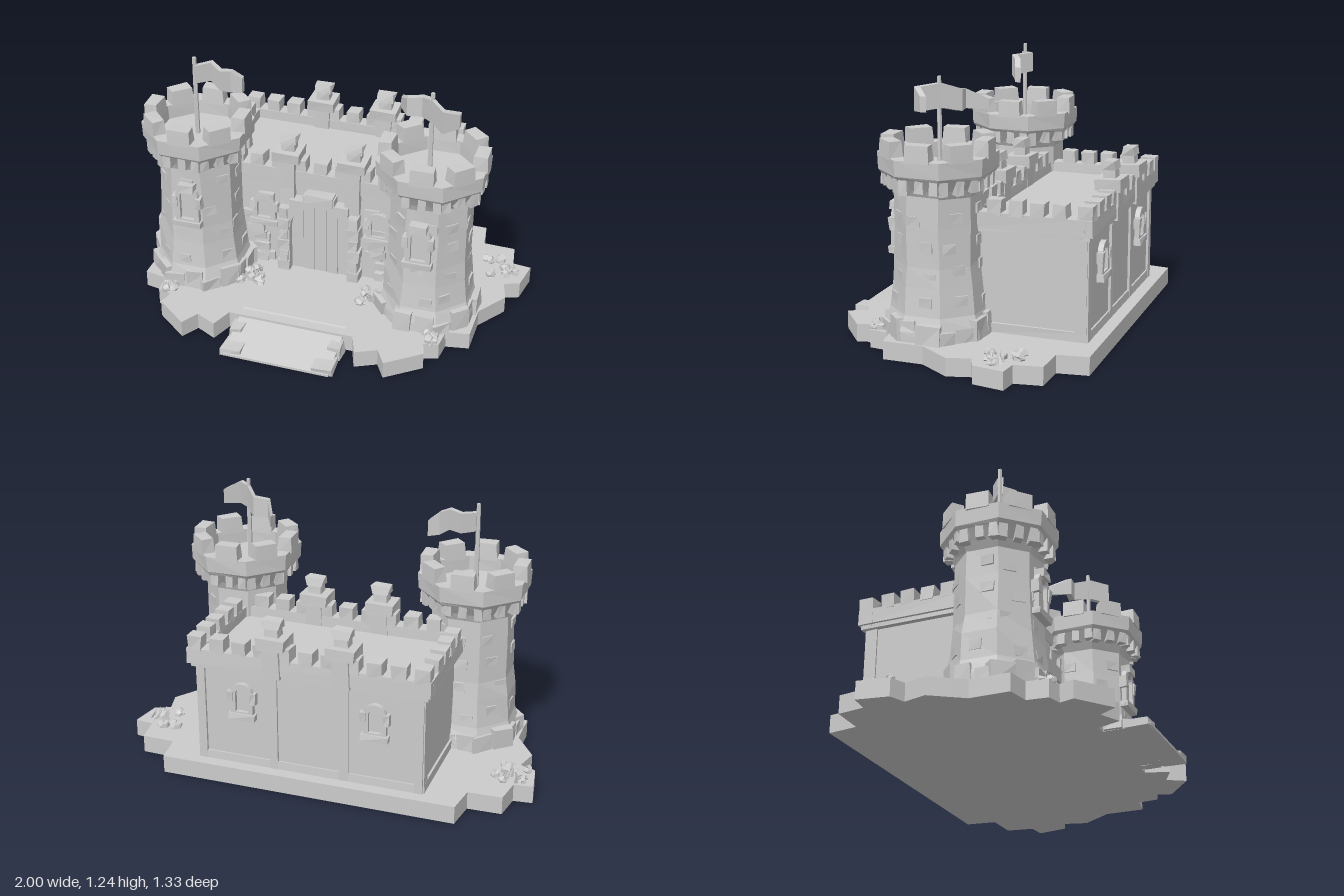
import * as THREE from 'three';

const stone = new THREE.MeshStandardMaterial({ color: 0xcccccc, flatShading: true, side: THREE.DoubleSide });

// Seeded random numbers for the rubble and worn stones
let seed = 7;
const rnd = (a, b) => {
  seed = (seed * 16807) % 2147483647;
  return a + (b - a) * seed / 2147483647;
};

// Shifts vertices by a hash of their position, so shared corners stay joined
function wear(geo, amount) {
  const p = geo.attributes.position;
  const hash = (x, y, z, k) => {
    const s = Math.sin(Math.round(x * 1e4) * 12.9898 + Math.round(y * 1e4) * 78.233 + Math.round(z * 1e4) * 37.719 + k) * 43758.5453;
    return (s - Math.floor(s) - 0.5) * 2 * amount;
  };
  for (let i = 0; i < p.count; i++) {
    const x = p.getX(i), y = p.getY(i), z = p.getZ(i);
    p.setXYZ(i, x + hash(x, y, z, 1), y + hash(x, y, z, 2) * 0.6, z + hash(x, y, z, 3));
  }
  geo.computeVertexNormals();
  return geo;
}

function add(parent, name, geo, x = 0, y = 0, z = 0) {
  const m = new THREE.Mesh(geo, stone);
  m.name = name;
  m.position.set(x, y, z);
  parent.add(m);
  return m;
}

// Worn box given by its extents
function block(parent, name, x0, x1, y0, y1, z0, z1, w = 0.004) {
  const geo = new THREE.BoxGeometry(x1 - x0, y1 - y0, z1 - z0);
  geo.translate((x0 + x1) / 2, (y0 + y1) / 2, (z0 + z1) / 2);
  return add(parent, name, wear(geo, w));
}

function group(parent, name, x = 0, y = 0, z = 0) {
  const g = new THREE.Group();
  g.name = name;
  g.position.set(x, y, z);
  parent.add(g);
  return g;
}

// Arch outline standing on y0, with half width w and total height h
function arch(Type, w, y0, h) {
  const s = new Type();
  s.moveTo(-w, y0);
  s.lineTo(w, y0);
  s.lineTo(w, y0 + h - w);
  s.absarc(0, y0 + h - w, w, 0, Math.PI, false);
  s.lineTo(-w, y0);
  return s;
}
const extrude = (shape, depth) => new THREE.ExtrudeGeometry(shape, { depth, bevelEnabled: false, curveSegments: 5 });

// Arched window: frame, recessed pane, lintel and sill; its origin is its middle on the wall
function makeWindow(parent, name, x, y, z, w, h, turn = 0) {
  const g = group(parent, name, x, y, z);
  g.rotation.y = turn;
  const s = arch(THREE.Shape, w / 2, -h / 2, h);
  s.holes.push(arch(THREE.Path, w / 2 - 0.025, -h / 2 + 0.03, h - 0.055));
  add(g, 'windowFrame', extrude(s, 0.025));
  block(g, 'windowPane', -w / 2 + 0.015, w / 2 - 0.015, -h / 2 + 0.01, h / 2 - 0.03, -0.01, 0.006, 0);
  block(g, 'windowSill', -w / 2 - 0.012, w / 2 + 0.012, -h / 2 - 0.01, -h / 2 + 0.022, -0.01, 0.035);
  for (const sx of [-1, 1]) block(g, 'windowJamb', sx * w / 2 - 0.014, sx * w / 2 + 0.014, -0.01, h / 4, -0.01, 0.03);
}

// Ribbon flag through points [x, z, bottom, top]
function makeFlag(parent, pts) {
  const n = pts.length - 1;
  const geo = new THREE.BoxGeometry(n, 1, 0.03, n, 1, 1);
  const p = geo.attributes.position;
  for (let i = 0; i < p.count; i++) {
    const [x, z, lo, hi] = pts[Math.round(p.getX(i) + n / 2)];
    p.setXYZ(i, x, p.getY(i) > 0 ? hi : lo, z + p.getZ(i));
  }
  geo.computeVertexNormals();
  add(parent, 'flag', geo);
}

function makeTower(parent, side) {
  const t = group(parent, side > 0 ? 'leftTower' : 'rightTower', side * 0.58, 0, 0.08);
  const k = 1 / Math.cos(Math.PI / 8);
  const lathe = (pts) => new THREE.LatheGeometry(pts.map(([r, y]) => new THREE.Vector2(r * k, y)), 8, Math.PI / 8);
  add(t, 'towerShaft', wear(lathe([[0.23, 0.07], [0.225, 0.13], [0.205, 0.2], [0.195, 0.33], [0.185, 0.42], [0.183, 0.6], [0.183, 0.76]]), 0.004));
  add(t, 'towerCrown', wear(lathe([[0.18, 0.73], [0.2, 0.77], [0.235, 0.82], [0.247, 0.835], [0.25, 0.91], [0.19, 0.91], [0.188, 0.84], [0, 0.84]]), 0.003));
  for (let i = 0; i < 8; i++) {
    const face = group(t, 'towerFace');
    face.rotation.y = i * Math.PI / 4;
    block(face, 'merlon', -0.055, 0.055, 0.9, 0.98, 0.188, 0.254, 0.005);
    for (const x of [-0.07, 0.005, 0.075]) block(face, 'corbel', x - 0.02, x + 0.02, 0.755 + rnd(0, 0.015), 0.83, 0.17, 0.235, 0.005);
    // Foot stones and a few raised bricks
    for (const x of [-0.065, 0.04]) {
      const w = rnd(0.04, 0.055);
      block(face, 'footStone', x - w, x + w, 0.06, rnd(0.13, 0.19), 0.17, rnd(0.225, 0.245), 0.008);
    }
    for (let j = 0; j < 4; j++) {
      const x = rnd(-0.045, 0.045), y = 0.21 + j * 0.13 + rnd(0, 0.05);
      block(face, 'raisedBrick', x - 0.03, x + 0.03, y, y + 0.045, 0.16, 0.19 + (j ? 0 : 0.015), 0.003);
    }
  }
  makeWindow(t, 'towerWindow', side * -0.01, 0.55, 0.188, 0.12, 0.21);
  block(t, 'windowLintel', side * -0.01 - 0.04, side * -0.01 + 0.04, 0.63, 0.67, 0.17, 0.225);
  add(t, 'flagPole', new THREE.CylinderGeometry(0.01, 0.012, 0.41, 6), side > 0 ? -0.02 : -0.005, 1.035, 0);
  makeFlag(t, side > 0
    ? [[0.115, 0.02, 1.1, 1.17], [0.05, 0.075, 1.09, 1.2], [-0.02, 0, 1.1, 1.21], [-0.08, -0.07, 1.08, 1.18], [-0.15, -0.06, 1.08, 1.17], [-0.2, -0.15, 1.07, 1.12]]
    : [[0, 0, 1.11, 1.2], [0.06, -0.05, 1.11, 1.205], [0.13, 0.01, 1.1, 1.2], [0.17, -0.02, 1.08, 1.19], [0.22, -0.04, 1.075, 1.15]]);
}

function makeHall(parent) {
  const h = group(parent, 'hall');
  block(h, 'hallWalls', -0.54, 0.54, 0.07, 0.6, -0.6, -0.045, 0);
  // Parapet walls with merlons
  const rails = [[-0.58, 0.58, -0.635, -0.56], [-0.58, 0.58, -0.095, -0.02], [-0.58, -0.51, -0.6, -0.06], [0.51, 0.58, -0.6, -0.06]];
  for (const [x0, x1, z0, z1] of rails) {
    block(h, 'parapet', x0, x1, 0.575, 0.65, z0, z1, 0.002);
    block(h, 'parapetMoulding', x0 + 0.012, x1 - 0.012, 0.555, 0.585, z0 + 0.012, z1 - 0.012, 0.002);
  }
  for (let i = -5; i <= 5; i++) {
    for (const z of [-0.6, -0.058]) block(h, 'merlon', i * 0.108 - 0.034, i * 0.108 + 0.034, 0.64, 0.71, z - 0.035, z + 0.036);
  }
  for (const s of [-1, 1]) {
    for (let i = 0; i < 4; i++) block(h, 'merlon', s * 0.546 - 0.035, s * 0.546 + 0.035, 0.64, 0.71, -0.215 - i * 0.1, -0.15 - i * 0.1);
  }
  // Piers with finials on the front and back parapets
  for (const x of [-0.165, 0.165]) {
    for (const z of [-0.05, -0.598]) {
      const p = group(h, 'pier', x, 0, z);
      block(p, 'pierBase', -0.04, 0.04, 0.56, 0.71, -0.05, 0.05);
      block(p, 'pierCapital', -0.068, 0.068, 0.7, 0.755, -0.06, 0.06, 0.007);
      block(p, 'pierNeck', -0.032, 0.032, 0.74, 0.81, -0.03, 0.03);
      block(p, 'pierCap', -0.042, 0.042, 0.795, 0.835, -0.032, 0.032, 0.008);
    }
  }
  // Back wall strips, plinth and windows
  for (const x of [-0.525, -0.17, 0.17, 0.525]) block(h, 'backPilaster', x - 0.02, x + 0.02, 0.08, 0.57, -0.612, -0.58, 0.002);
  block(h, 'backPlinth', -0.54, 0.54, 0.08, 0.125, -0.61, -0.58, 0.002);
  for (const s of [-1, 1]) {
    makeWindow(h, 'backWindow', s * 0.32, 0.415, -0.6, 0.11, 0.17, Math.PI);
    makeWindow(h, 'frontWindow', s * 0.295, 0.4, -0.045, 0.12, 0.16);
    block(h, 'sidePlinth', s * 0.542 - 0.008, s * 0.542 + 0.008, 0.08, 0.13, -0.6, -0.1, 0.002);
    block(h, 'sidePilaster', s * 0.542 - 0.008, s * 0.542 + 0.008, 0.08, 0.57, -0.605, -0.55, 0.002);
    for (let i = 0; i < 8; i++) {
      const x = s * rnd(0.24, 0.38), y = i < 4 ? 0.09 + i * 0.055 : 0.1 + (i - 4) * 0.115;
      block(h, 'wallStone', x - 0.04, x + 0.04, y, y + 0.045, -0.06, rnd(-0.035, -0.015));
    }
  }
  // Gate with a stone arch, side piers, head stones and planks
  const frame = new THREE.Shape([[-0.2, 0.08], [0.2, 0.08], [0.2, 0.45], [0.15, 0.45], [0.15, 0.5], [0.08, 0.5], [0.08, 0.535], [-0.08, 0.535], [-0.08, 0.5], [-0.15, 0.5], [-0.15, 0.45], [-0.2, 0.45]].map(([x, y]) => new THREE.Vector2(x, y)));
  frame.holes.push(arch(THREE.Path, 0.15, 0.081, 0.4));
  add(h, 'gateArch', extrude(frame, 0.06), 0, 0, -0.05);
  for (let i = 0; i < 5; i++) block(h, 'gatePlank', -0.15 + i * 0.06, -0.092 + i * 0.06, 0.08, 0.5, -0.05, -0.028 + (i % 2) * 0.004, 0.001);
  for (const s of [-1, 1]) {
    for (let i = 0; i < 6; i++) {
      const w = i % 2 ? 0.02 : 0.03;
      block(h, 'gateQuoin', s * 0.18 - w, s * 0.18 + w, 0.08 + i * 0.062, 0.138 + i * 0.062, -0.05, 0.02);
    }
    block(h, 'gatePilaster', s * 0.165 - 0.035, s * 0.165 + 0.035, 0.46, 0.6, -0.05, -0.008);
  }
  block(h, 'keystone', -0.07, 0.07, 0.495, 0.545, -0.05, 0.018);
}

function makeGround(parent) {
  const g = group(parent, 'ground');
  // Half outline [x, z] from back to front, mirrored
  const half = [[0.71, -0.67], [0.73, -0.525], [0.89, -0.52], [0.91, -0.39], [1, -0.38], [0.975, -0.23], [0.9, -0.2], [0.93, -0.09], [0.87, 0],
    [0.83, 0.06], [0.83, 0.25], [0.72, 0.27], [0.71, 0.37], [0.64, 0.39], [0.66, 0.46], [0.5, 0.585], [0.45, 0.5], [0.35, 0.55], [0.31, 0.44], [0.25, 0.44]];
  const outline = [...half, ...half.map(([x, z]) => [-x, z]).reverse()].map(([x, z]) => new THREE.Vector2(x, -z));
  const slab = extrude(new THREE.Shape(outline), 0.085);
  slab.rotateX(-Math.PI / 2);
  add(g, 'groundSlab', slab);
  // Sloping ramp to the gate, cut from its side profile
  const ramp = extrude(new THREE.Shape([[0.36, 0], [0.66, 0], [0.66, 0.012], [0.56, 0.04], [0.38, 0.088]].map(([z, y]) => new THREE.Vector2(-z, y))), 0.52);
  ramp.rotateY(Math.PI / 2);
  add(g, 'ramp', ramp, -0.26, 0, 0);
  for (const s of [-1, 1]) {
    block(g, 'rampStone', s * 0.225 - 0.05, s * 0.225 + 0.05, 0, 0.035, 0.55, 0.655, 0.006);
    block(g, 'rampStone', s * 0.245 - 0.03, s * 0.245 + 0.03, 0, 0.065, 0.45, 0.53, 0.006);
    // Rubble and grass tufts [x, z, spread]
    for (const [cx, cz, r] of [[0.87, -0.32, 0.09], [0.31, 0.12, 0.06], [0.66, 0.34, 0.03]]) {
      for (let i = 0; i < 9; i++) {
        const rock = add(g, 'rubble', wear(new THREE.DodecahedronGeometry(rnd(0.015, 0.03)), 0.005), s * (cx + rnd(-r, r)), 0.092, cz + rnd(-r, r));
        rock.rotation.y = rnd(0, 3);
        const tuft = add(g, 'grassTuft', new THREE.ConeGeometry(0.012, rnd(0.04, 0.07), 4), s * (cx + rnd(-r, r) * 0.7), 0.105, cz + rnd(-r, r) * 0.7);
        tuft.rotation.set(rnd(-0.6, 0.6), 0, rnd(-0.6, 0.6));
      }
    }
  }
}

export function createModel() {
  const castle = new THREE.Group();
  castle.name = 'castle';
  makeGround(castle);
  makeHall(castle);
  for (const side of [-1, 1]) makeTower(castle, side);
  return castle;
}
